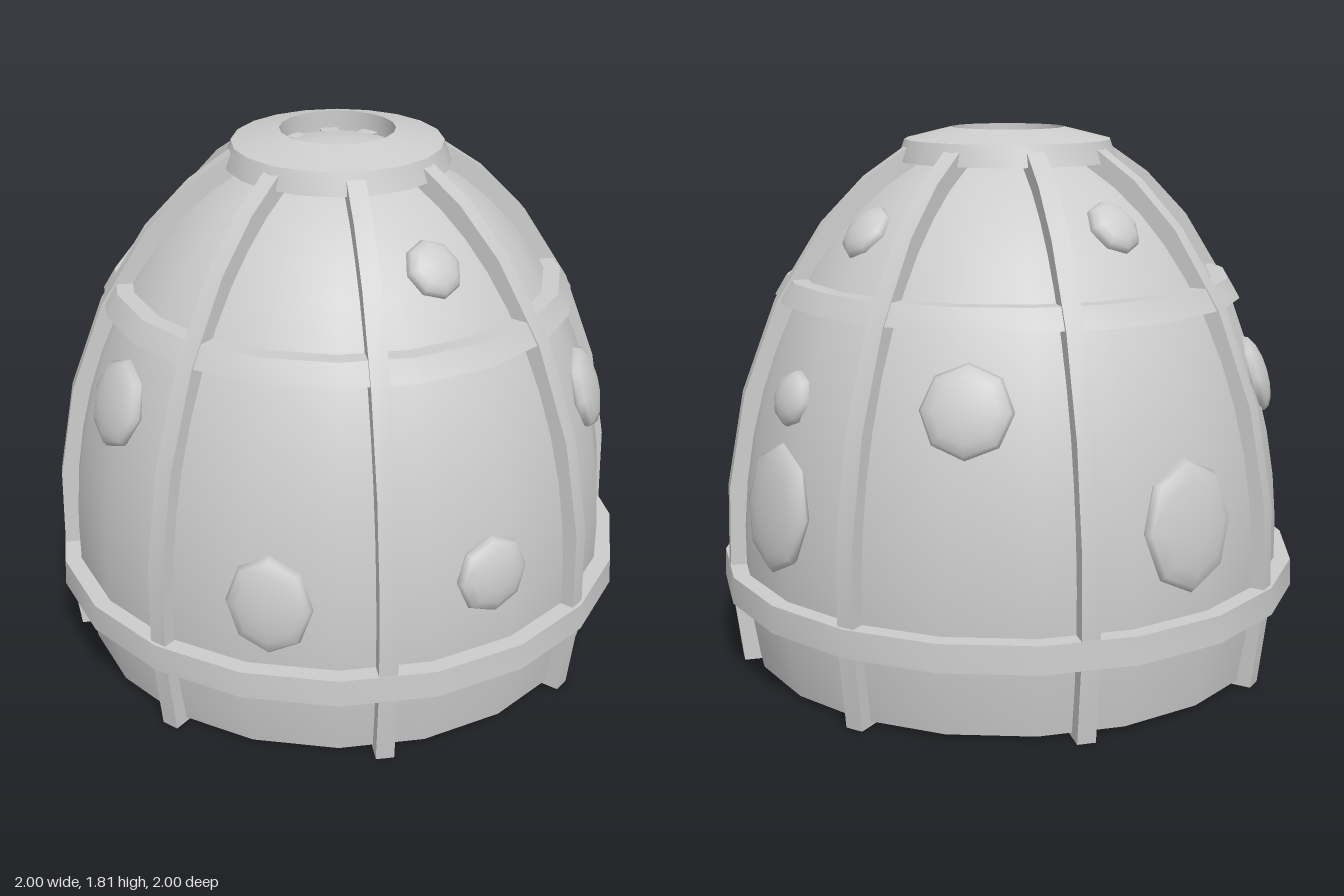
import * as THREE from 'three';
import { toCreasedNormals } from 'three/addons/utils/BufferGeometryUtils.js';

const SIDES = 20;
const CENTRE_Y = 0.4;

// radius of an egg-shaped dome at height y
const domeRadius = (y, radius, height) =>
  radius * Math.sqrt(Math.max(0, 1 - ((y - CENTRE_Y) / height) ** 2));

const vectors = (list) => list.map(([x, y]) => new THREE.Vector2(x, y));

export function createModel() {
  const model = new THREE.Group();
  const shellGrey = new THREE.MeshStandardMaterial({ color: 0xcccccc });
  shellGrey.name = 'shellGrey';

  const add = (name, geometry) => {
    const mesh = new THREE.Mesh(geometry, shellGrey);
    mesh.name = name;
    model.add(mesh);
    return mesh;
  };
  const addLathe = (name, profile) =>
    add(name, toCreasedNormals(new THREE.LatheGeometry(vectors(profile), SIDES), 0.45));

  // Domed body with a flat base
  const bodyProfile = [[0, 0.015]];
  const startAngle = Math.asin((0.015 - CENTRE_Y) / 1.37);
  for (let i = 0; i <= 16; i++) {
    const a = startAngle + (Math.PI / 2 - startAngle) * (i / 16);
    bodyProfile.push([i === 16 ? 0 : 0.94 * Math.cos(a), CENTRE_Y + 1.37 * Math.sin(a)]);
  }
  addLathe('body', bodyProfile);

  // Horizontal hoops
  addLathe('lowerHoop', [[0.88, 0.257], [1, 0.257], [0.995, 0.348], [0.88, 0.348]]);
  addLathe('upperHoop', [[0.66, 1.25], [0.793, 1.25], [0.752, 1.318], [0.66, 1.318]]);

  // Collar around the top opening
  addLathe('topCollar', [
    [0.26, 1.697], [0.373, 1.697], [0.348, 1.768], [0.19, 1.807], [0.19, 1.72],
  ]);

  // Eight curved ribs
  const heights = [0, 0.3, 0.62, 0.94, 1.25, 1.5, 1.65, 1.75];
  const outer = heights.map((y) => [domeRadius(y, 0.985, 1.44), y]);
  const inner = heights.map((y) => [domeRadius(y, 0.87, 1.37), y]).reverse();
  const ribGeometry = new THREE.ExtrudeGeometry(new THREE.Shape(vectors([...outer, ...inner])), {
    depth: 0.06, bevelEnabled: false,
  });
  ribGeometry.translate(0, 0, -0.03);
  const creasedRib = toCreasedNormals(ribGeometry, 0.45);
  for (let i = 0; i < 8; i++) {
    add('rib' + (i + 1), creasedRib).rotation.y = (i * Math.PI) / 4;
  }

  // Flattened bumps: direction x, direction z, height, half width, half height
  const bumps = [
    [0.32, 0.79, 0.97, 0.145, 0.145],
    [-0.36, 0.85, 0.61, 0.13, 0.13],
    [-0.22, 0.53, 1.5, 0.095, 0.1],
    [0.55, 0.23, 1.49, 0.09, 0.1],
    [0.78, 0.33, 0.985, 0.092, 0.092],
    [0.86, 0.35, 0.64, 0.175, 0.212],
    [0.77, -0.31, 1.02, 0.145, 0.147],
    [0.21, -0.52, 1.515, 0.09, 0.1],
    [0.36, -0.85, 0.64, 0.175, 0.212],
    [-0.33, -0.79, 0.98, 0.135, 0.135],
    [-0.77, -0.31, 1.03, 0.145, 0.15],
    [-0.86, 0.36, 0.57, 0.14, 0.168],
  ];
  const bumpGeometry = new THREE.SphereGeometry(1, 8, 8).rotateX(Math.PI / 2);
  bumps.forEach(([dx, dz, y, halfWidth, halfHeight], i) => {
    const radius = domeRadius(y, 0.935, 1.365);
    const dir = new THREE.Vector2(dx, dz).normalize();
    const bump = add('bump' + (i + 1), bumpGeometry);
    bump.position.set(dir.x * radius, y, dir.y * radius);
    const slope = Math.atan2((y - CENTRE_Y) / 1.37 ** 2, radius / 0.94 ** 2);
    bump.rotation.set(-slope, Math.atan2(dx, dz), 0, 'YXZ');
    bump.scale.set(halfWidth, halfHeight, 0.048);
  });

  return model;
}
